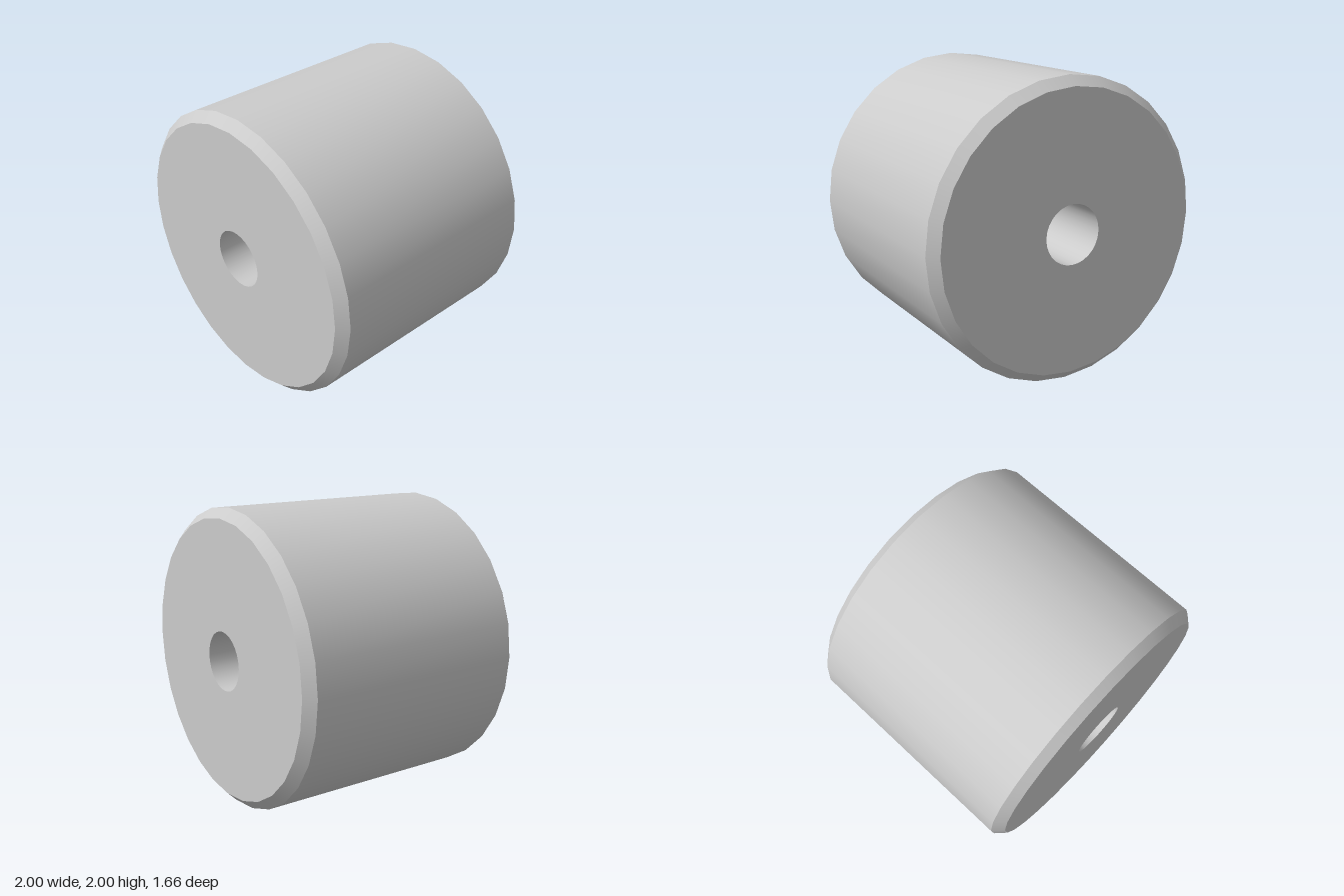
import * as THREE from 'three';

export function createModel() {
  const group = new THREE.Group();
  group.name = 'chamferedRoller';
  const material = new THREE.MeshStandardMaterial({ color: 0xcccccc });

  const outer = 1, face = 0.935, bore = 0.2;
  const end = 0.832, shoulder = 0.767;

  // Each band is its own lathe, so the edges between bands stay sharp.
  const addBand = (name, from, to) => {
    const profile = [new THREE.Vector2(...from), new THREE.Vector2(...to)];
    const geometry = new THREE.LatheGeometry(profile, 28);
    geometry.rotateX(Math.PI / 2); // axis along z
    geometry.translate(0, outer, 0);
    const mesh = new THREE.Mesh(geometry, material);
    mesh.name = name;
    group.add(mesh);
  };

  // Closed profile as [radius, position along the axis], from back to front
  addBand('backFace', [bore, -end], [face, -end]);
  addBand('backChamfer', [face, -end], [outer, -shoulder]);
  addBand('outerWall', [outer, -shoulder], [outer, shoulder]);
  addBand('frontChamfer', [outer, shoulder], [face, end]);
  addBand('frontFace', [face, end], [bore, end]);
  addBand('boreWall', [bore, end], [bore, -end]);

  return group;
}
